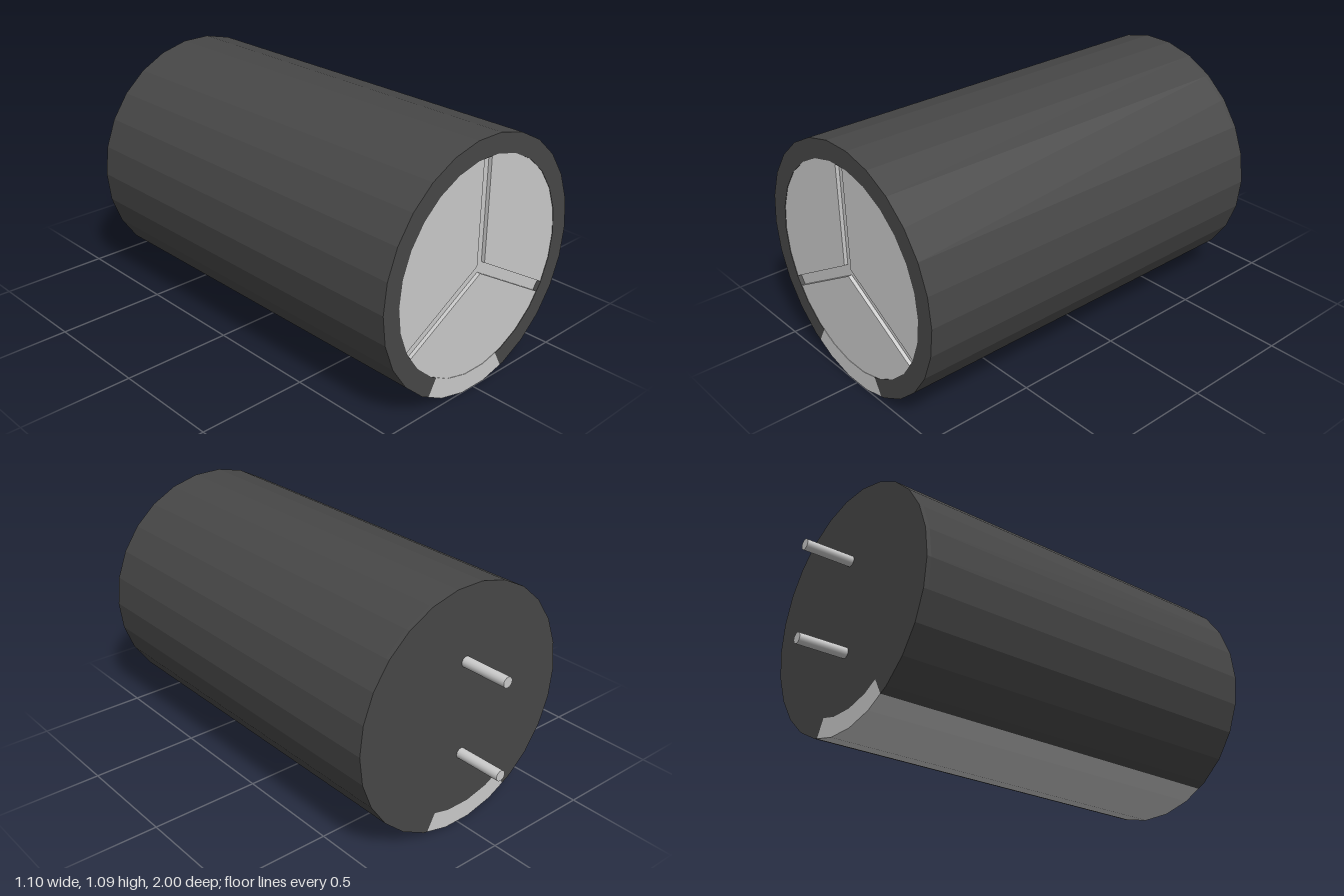
import * as THREE from 'three';

const SIDES = 26, STEP = (Math.PI * 2) / SIDES;
const R_OUT = 0.55, R_IN = 0.466, FRONT = 1, BACK = -0.78;
const rad = THREE.MathUtils.degToRad;

// Point on the 26-sided outline at any angle
function onPolygon(r, a) {
  const mid = (Math.floor(a / STEP + 1e-6) + 0.5) * STEP;
  const d = (r * Math.cos(STEP / 2)) / Math.cos(a - mid);
  return new THREE.Vector2(d * Math.cos(a), d * Math.sin(a));
}

// Outline from angle a0 up to a1, keeping every corner in between
function arc(r, a0, a1) {
  const pts = [onPolygon(r, a0)];
  for (let i = Math.ceil(a0 / STEP + 0.01); i * STEP < a1 - 0.001; i++) pts.push(onPolygon(r, i * STEP));
  pts.push(onPolygon(r, a1));
  return pts;
}

export function createModel() {
  const model = new THREE.Group();
  const dark = new THREE.MeshStandardMaterial({ color: 0x474747, flatShading: true });
  const grey = new THREE.MeshStandardMaterial({ color: 0xcccccc, flatShading: true });
  const smoothGrey = new THREE.MeshStandardMaterial({ color: 0xcccccc });

  function prism(name, points, z0, z1, material) {
    const geo = new THREE.ExtrudeGeometry(new THREE.Shape(points), { depth: z1 - z0, bevelEnabled: false });
    const mesh = new THREE.Mesh(geo, material);
    mesh.position.set(0, R_OUT * Math.cos(STEP / 2), z0);
    mesh.name = name;
    model.add(mesh);
  }

  // Edges of the marking stripe along the underside
  const outL = rad(-120.2), outR = rad(-71.4), inL = rad(-120.4), inR = rad(-73.1);
  const turn = Math.PI * 2;
  const sleeveOuter = arc(R_OUT, outR, outL + turn);
  const sleeveInner = arc(R_IN, inR, inL + turn).reverse();
  const stripeInner = arc(R_IN, inL, inR);

  // Dark sleeve, closed at the back, with the stripe let into it
  prism('sleeve', [...sleeveOuter, ...sleeveInner], BACK + 0.02, FRONT, dark);
  prism('backCap', [...sleeveOuter, ...stripeInner], BACK, BACK + 0.02, dark);
  prism('stripe', [...arc(R_OUT, outL, outR), ...stripeInner.slice().reverse()], BACK, FRONT, grey);

  // Metal can inside, its face forming the floor of the vent grooves
  prism('can', arc(R_IN, 0, turn).slice(0, -1), BACK + 0.02, 0.982, grey);

  // Three face sectors separated by a Y-shaped vent groove
  const half = 0.0225, trim = Math.asin(half / R_IN);
  for (let i = 0; i < 3; i++) {
    const start = rad(-30 + i * 120), middle = start + rad(60);
    const d = half / Math.sin(rad(60));
    const apex = new THREE.Vector2(d * Math.cos(middle), d * Math.sin(middle));
    prism('faceSector', [apex, ...arc(R_IN, start + trim, start + rad(120) - trim)], 0.982, 0.998, grey);
  }

  // Two terminal pins at the back
  for (const y of [0.765, 0.342]) {
    const pin = new THREE.Mesh(new THREE.CylinderGeometry(0.024, 0.024, 0.23, 16), smoothGrey);
    pin.rotation.x = Math.PI / 2;
    pin.position.set(0, y, -0.885);
    pin.name = 'pin';
    model.add(pin);
  }
  return model;
}
